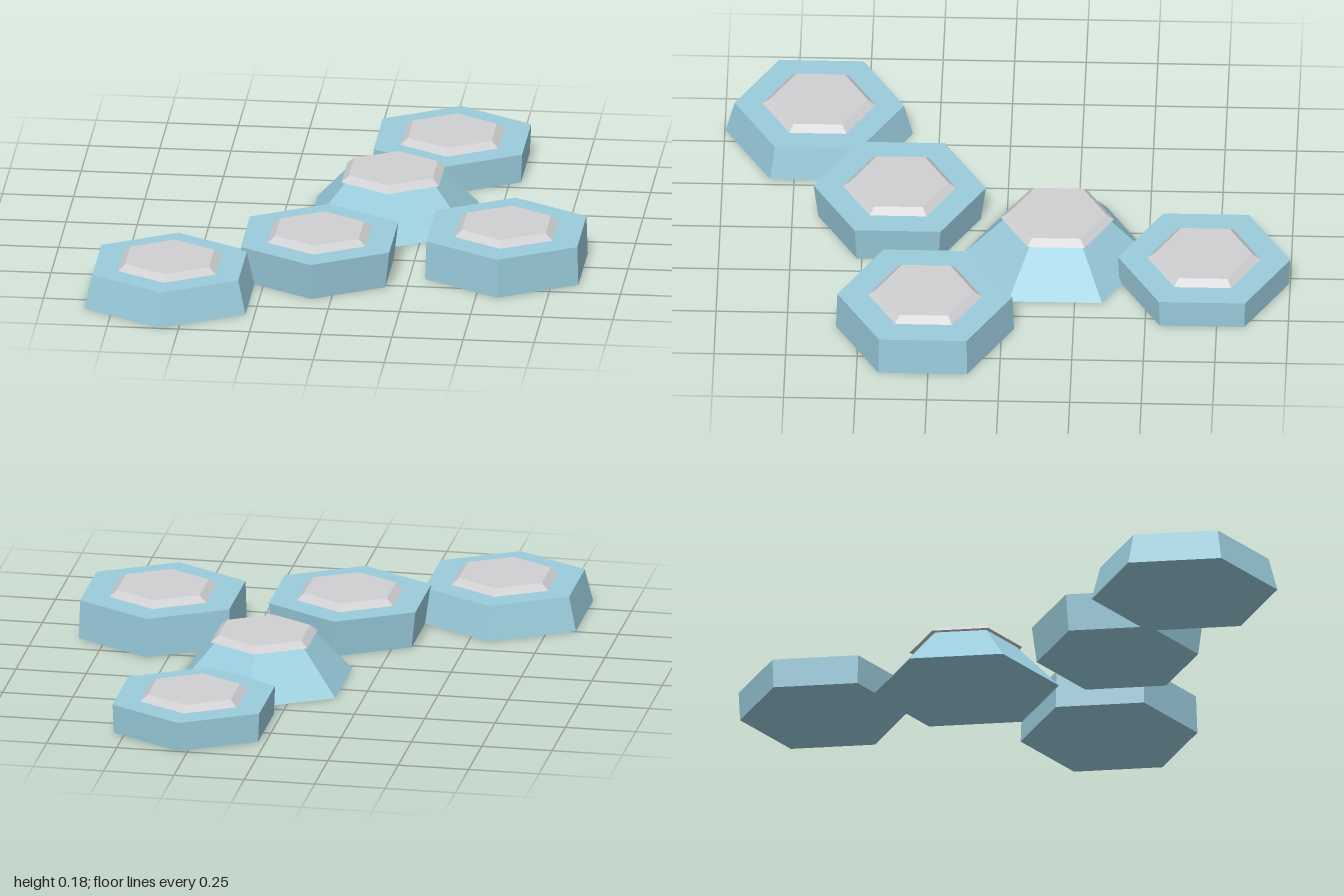
import * as THREE from 'three';

// Flat-faced six-sided frustum with corners pointing along z, standing on y
function hexFrustum(topRadius, bottomRadius, y, height) {
  const geometry = new THREE.CylinderGeometry(topRadius, bottomRadius, height, 6).toNonIndexed();
  geometry.translate(0, y + height / 2, 0);
  geometry.computeVertexNormals();
  return geometry;
}

export function createModel() {
  const blue = new THREE.MeshStandardMaterial({ color: 0x9accdc });
  blue.name = 'pale blue';
  const grey = new THREE.MeshStandardMaterial({ color: 0xd0d0d2 });
  grey.name = 'light grey';

  // Each stone: centre x, z, body height, top radius, bottom radius
  const stones = [
    [-0.565, 0.67, 0.12, 0.296, 0.327],
    [-0.07, 0.375, 0.133, 0.301, 0.284],
    [0.575, 0.268, 0.14, 0.306, 0.311],
    [0.13, -0.182, 0.155, 0.18, 0.327],
    [0.283, -0.699, 0.105, 0.301, 0.296],
  ];

  const model = new THREE.Group();
  model.name = 'hexagonSteppingStones';
  stones.forEach(([x, z, height, top, bottom], i) => {
    const stone = new THREE.Group();
    stone.name = `stone${i + 1}`;
    stone.position.set(x, 0, z);

    // Tapered block
    const body = new THREE.Mesh(hexFrustum(top, bottom, 0, height), blue);
    body.name = 'stoneBody';

    // Bevelled plate on top
    const cap = new THREE.Mesh(hexFrustum(0.17, 0.198, height, 0.022), grey);
    cap.name = 'stoneCap';

    stone.add(body, cap);
    model.add(stone);
  });
  return model;
}
